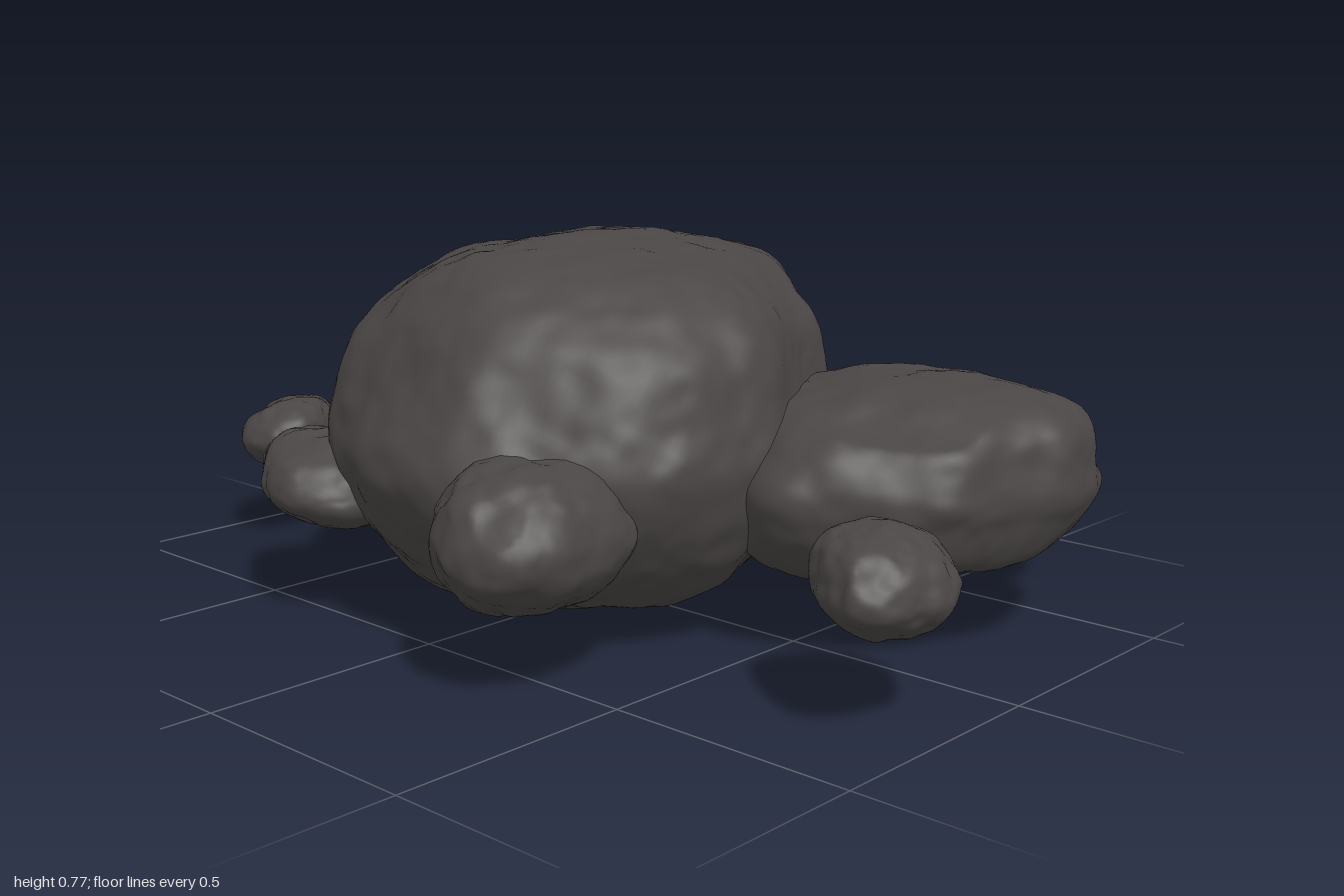
import * as THREE from 'three';
import { mergeVertices } from 'three/addons/utils/BufferGeometryUtils.js';

const stone = new THREE.MeshStandardMaterial({ color: 0x4a4645 });
stone.name = 'dark stone';

// Smooth value noise in -1..1
function hash(x, y, z) {
  const s = Math.sin(x * 127.1 + y * 311.7 + z * 74.7) * 43758.5453;
  return (s - Math.floor(s)) * 2 - 1;
}
function noise(x, y, z) {
  const i = [x, y, z].map(Math.floor);
  const [u, v, w] = [x - i[0], y - i[1], z - i[2]].map((f) => f * f * (3 - 2 * f));
  let sum = 0;
  for (let a = 0; a < 2; a++) for (let b = 0; b < 2; b++) for (let c = 0; c < 2; c++) {
    sum += hash(i[0] + a, i[1] + b, i[2] + c) * (a ? u : 1 - u) * (b ? v : 1 - v) * (c ? w : 1 - w);
  }
  return sum;
}

// Negative amount planes a facet off in direction n, positive amount swells that side
function reshape(points, [nx, ny, nz, amount]) {
  const n = new THREE.Vector3(nx, ny, nz).normalize();
  const c = new THREE.Box3().setFromPoints(points).getCenter(new THREE.Vector3());
  const limit = Math.max(...points.map((p) => p.clone().sub(c).dot(n))) + amount;
  for (const p of points) {
    const d = p.clone().sub(c);
    if (amount < 0) p.addScaledVector(n, Math.min(0, limit - d.dot(n)) * 0.9);
    else p.addScaledVector(n, amount * Math.max(0, d.normalize().dot(n)) ** 3);
  }
}

// A boulder: plan outline [x, z] fitted into layers [y, x0, x1, z0, z1] from top to bottom
function makeRock(name, outline, layers, changes, detail, rough, freq) {
  const pts = outline.map(([x, z]) => new THREE.Vector3(x, 0, z));
  if (THREE.ShapeUtils.area(pts.map((p) => new THREE.Vector2(p.x, p.z))) < 0) pts.reverse();
  // start at the point nearest +x so the mesh is not twisted
  const start = pts.reduce((best, p, i) => (p.x > pts[best].x ? i : best), 0);
  const loop = new THREE.CatmullRomCurve3([...pts.slice(start), ...pts.slice(0, start)], true);
  const box = new THREE.Box3().setFromPoints(loop.getPoints(100));
  const xs = new THREE.CatmullRomCurve3(layers.map((l) => new THREE.Vector3(l[1], l[0], l[2])), false, 'catmullrom');
  const zs = new THREE.CatmullRomCurve3(layers.map((l) => new THREE.Vector3(l[3], l[0], l[4])), false, 'catmullrom');

  let geo = new THREE.IcosahedronGeometry(1, detail);
  geo.deleteAttribute('uv');
  geo.deleteAttribute('normal');
  geo = mergeVertices(geo, 1e-5);
  const pos = geo.attributes.position;
  const points = [];
  for (let i = 0; i < pos.count; i++) {
    const x = pos.getX(i), y = pos.getY(i), z = pos.getZ(i);
    const t = Math.acos(THREE.MathUtils.clamp(y, -1, 1)) / Math.PI;
    const u = (Math.atan2(z, x) / (2 * Math.PI) + 1) % 1;
    const o = loop.getPointAt(u), a = xs.getPoint(t), b = zs.getPoint(t);
    const fx = (o.x - box.min.x) / (box.max.x - box.min.x);
    const fz = (o.z - box.min.z) / (box.max.z - box.min.z);
    points.push(new THREE.Vector3(a.x + (a.z - a.x) * fx, a.y, b.x + (b.z - b.x) * fz));
  }
  changes.forEach((change) => reshape(points, change));
  pos.copyArray(points.flatMap((p) => p.toArray()));
  // chip and pit the surface along its normals
  geo.computeVertexNormals();
  const nor = geo.attributes.normal;
  points.forEach((p, i) => {
    const at = (k) => noise(p.x * freq * k + 9, p.y * freq * k + 5, p.z * freq * k + 3);
    const d = rough * (at(1) + 0.55 * at(2.2) + 0.25 * at(4.5));
    p.addScaledVector(new THREE.Vector3().fromBufferAttribute(nor, i), d);
    pos.setXYZ(i, p.x, p.y, p.z);
  });
  geo.computeVertexNormals();
  const mesh = new THREE.Mesh(geo, stone);
  mesh.name = name;
  return mesh;
}

// Layers for a simple rounded stone; lean shifts the top along x
function pebbleLayers(outline, y0, y1, lean) {
  const x = outline.map((p) => p[0]), z = outline.map((p) => p[1]);
  const x0 = Math.min(...x), x1 = Math.max(...x), z0 = Math.min(...z), z1 = Math.max(...z);
  const cx = (x0 + x1) / 2, cz = (z0 + z1) / 2, rx = (x1 - x0) / 2, rz = (z1 - z0) / 2;
  return [[1, 0], [0.95, 0.45], [0.78, 0.83], [0.5, 1], [0.28, 0.9], [0.06, 0.52], [0, 0]].map(([h, s]) => {
    const c = cx + lean * (h - 0.5);
    return [y0 + (y1 - y0) * h, c - rx * s, c + rx * s, cz - rz * s, cz + rz * s];
  });
}

export function createModel() {
  const group = new THREE.Group();
  group.name = 'rockCluster';

  // Large central boulder
  group.add(makeRock('mainBoulder',
    [[0.515, 0.09], [0.505, 0.2], [0.465, 0.32], [0.375, 0.43], [0.24, 0.54], [0.1, 0.6], [-0.2, 0.54],
      [-0.45, 0.34], [-0.53, 0.2], [-0.55, 0], [-0.52, -0.15], [-0.4, -0.36], [-0.2, -0.5], [0.05, -0.54],
      [0.14, -0.5], [0.33, -0.32], [0.46, -0.05]],
    [[0.765, -0.02, -0.02, 0.06, 0.06], [0.745, -0.17, 0.14, -0.18, 0.25], [0.705, -0.36, 0.31, -0.42, 0.36],
      [0.6, -0.51, 0.45, -0.5, 0.49], [0.46, -0.54, 0.5, -0.53, 0.57], [0.34, -0.52, 0.52, -0.54, 0.6],
      [0.2, -0.43, 0.46, -0.46, 0.53], [0.1, -0.38, 0.37, -0.33, 0.41], [0.03, -0.28, 0.2, -0.17, 0.23],
      [0.01, -0.08, -0.08, 0.03, 0.03]],
    [[-0.5, -0.45, 0.6, 0.035], [-0.23, 0.93, -0.29, -0.02]], 36, 0.012, 6));

  // Two side boulders towards the back
  group.add(makeRock('leftBoulder',
    [[0.94, -0.3], [0.89, -0.13], [0.85, -0.01], [0.73, 0.09], [0.56, 0.17], [0.35, 0.06], [0.22, -0.15],
      [0.27, -0.38], [0.4, -0.5], [0.59, -0.58], [0.75, -0.55], [0.88, -0.49]],
    [[0.515, 0.6, 0.6, -0.28, -0.28], [0.495, 0.42, 0.78, -0.4, -0.13], [0.445, 0.28, 0.9, -0.5, 0.06],
      [0.36, 0.22, 0.93, -0.54, 0.15], [0.28, 0.22, 0.93, -0.57, 0.16], [0.18, 0.26, 0.85, -0.46, 0.1],
      [0.13, 0.34, 0.64, -0.33, -0.05], [0.115, 0.47, 0.47, -0.18, -0.18]],
    [[0.2, 0.9, 0.3, -0.012]], 26, 0.01, 7));
  group.add(makeRock('rightBoulder',
    [[-0.25, -0.18], [-0.35, 0.05], [-0.53, 0.17], [-0.65, 0.14], [-0.78, 0.03], [-0.85, -0.08], [-0.87, -0.2],
      [-0.78, -0.35], [-0.63, -0.43], [-0.5, -0.44], [-0.38, -0.39]],
    [[0.475, -0.62, -0.62, -0.15, -0.15], [0.465, -0.78, -0.42, -0.3, 0], [0.43, -0.84, -0.3, -0.39, 0.1],
      [0.34, -0.86, -0.25, -0.44, 0.16], [0.25, -0.81, -0.25, -0.43, 0.16], [0.17, -0.71, -0.28, -0.34, 0.08],
      [0.125, -0.57, -0.35, -0.24, -0.04], [0.115, -0.46, -0.46, -0.14, -0.14]],
    [[-0.6, -0.1, 0.6, 0.015], [-0.3, 0.8, -0.4, -0.02]], 24, 0.009, 8));

  // Smaller stones: name, bottom, top, lean, plan outline, facets
  const stones = [
    ['frontRightStone', 0.17, 0.36, -0.06, [[-0.18, 0.46], [-0.2, 0.56], [-0.3, 0.62], [-0.43, 0.57], [-0.54, 0.45],
      [-0.49, 0.32], [-0.35, 0.25], [-0.22, 0.35]], []],
    ['frontLeftStone', 0.135, 0.42, 0, [[0.455, 0.53], [0.45, 0.61], [0.4, 0.69], [0.3, 0.71], [0.22, 0.68],
      [0.12, 0.58], [0.1, 0.42], [0.28, 0.3], [0.43, 0.38]], [[0.4, 0.6, 0.6, -0.012]]],
    ['rightPebble', 0.165, 0.32, 0.06, [[-0.74, 0.2], [-0.76, 0.29], [-0.85, 0.31], [-0.93, 0.27], [-1, 0.15],
      [-0.97, 0.04], [-0.9, 0.03], [-0.8, 0.1]], []],
    ['leftPebble', 0.165, 0.35, -0.03, [[0.995, 0.25], [0.93, 0.39], [0.84, 0.37], [0.75, 0.29], [0.74, 0.21],
      [0.8, 0.1], [0.9, 0.09], [0.97, 0.16]], [[0.5, 0.6, 0.5, -0.008]]],
    ['backPebble', 0.17, 0.32, 0, [[0.76, -0.57], [0.65, -0.5], [0.53, -0.53], [0.48, -0.6], [0.55, -0.68],
      [0.68, -0.72], [0.76, -0.66]], [[0.3, 0.6, -0.6, -0.008]]],
  ];
  for (const [name, y0, y1, lean, outline, facets] of stones) {
    group.add(makeRock(name, outline, pebbleLayers(outline, y0, y1, lean), facets, 16, 0.008, 14));
  }
  return group;
}
